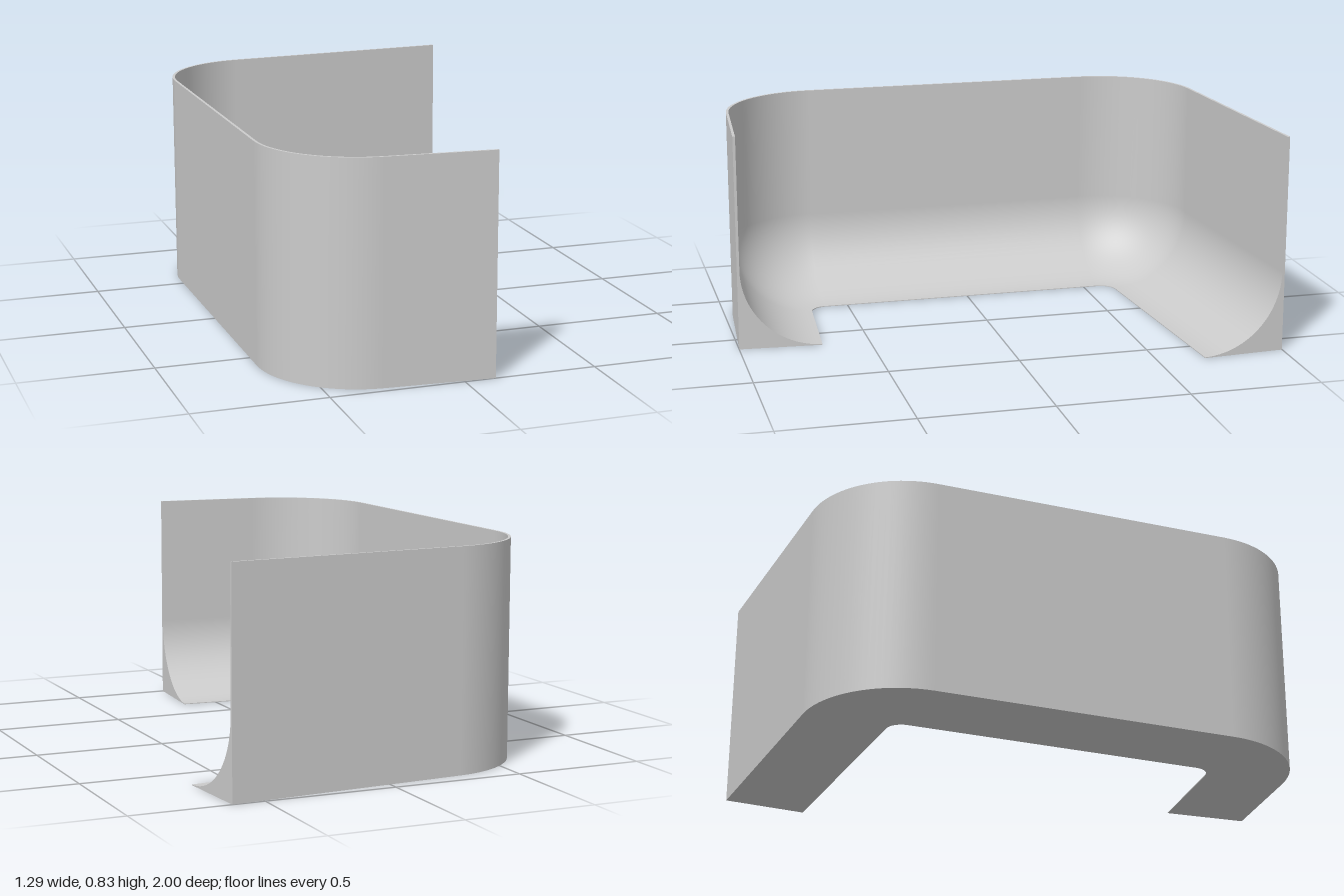
import * as THREE from 'three';

const HEIGHT = 0.83, WIDTH = 0.317, WALL = 0.01, LIP = 0.003;
const RADIUS = 0.38, CORNER_X = -0.266, BACK_Z = -0.556, FRONT_Z = 0.592;
const BACK_ARM = 0.9166, FRONT_ARM = 0.4105;
const SPLAY = THREE.MathUtils.degToRad(4); // both arms open outward slightly
const STEPS = 24;

// Stations along the plan: an origin (x, z) and an outward direction angle
function makeStations() {
  const stations = [];
  const backAngle = 1.5 * Math.PI - SPLAY, frontAngle = Math.PI / 2 + SPLAY;
  const add = (z, a, along = 0) => stations.push({
    x: CORNER_X + along * Math.cos(SPLAY),
    z: z + Math.sign(z) * along * Math.sin(SPLAY),
    a,
  });
  add(BACK_Z, backAngle, BACK_ARM);
  for (let i = 0; i <= STEPS; i++) add(BACK_Z, THREE.MathUtils.lerp(backAngle, Math.PI, i / STEPS));
  for (let i = 0; i <= STEPS; i++) add(FRONT_Z, THREE.MathUtils.lerp(Math.PI, frontAngle, i / STEPS));
  add(FRONT_Z, frontAngle, FRONT_ARM);
  return stations;
}

// Place a profile point (distance in from the outer face, height) at a station
function place(s, p) {
  const r = RADIUS - p.x;
  return [s.x + r * Math.cos(s.a), p.y, s.z + r * Math.sin(s.a)];
}

// Sweep one smooth run of the profile along all stations
function sweep(stations, run) {
  const positions = [], index = [], n = run.length;
  stations.forEach((s, i) => run.forEach((p, j) => {
    positions.push(...place(s, p));
    if (i === stations.length - 1 || j === n - 1) return;
    const a = i * n + j, b = a + 1, c = a + n, d = c + 1;
    index.push(a, b, c, b, d, c);
  }));
  const g = new THREE.BufferGeometry();
  g.setAttribute('position', new THREE.Float32BufferAttribute(positions, 3));
  g.setIndex(index);
  g.computeVertexNormals();
  return g;
}

// Flat end face with the full profile
function endCap(s, points) {
  const g = new THREE.ShapeGeometry(new THREE.Shape(points));
  const inward = new THREE.Vector3(-Math.cos(s.a), 0, -Math.sin(s.a));
  const up = new THREE.Vector3(0, 1, 0);
  const m = new THREE.Matrix4().makeBasis(inward, up, inward.clone().cross(up));
  m.setPosition(...place(s, new THREE.Vector2(0, 0)));
  return g.applyMatrix4(m);
}

export function createModel() {
  const group = new THREE.Group();
  group.name = 'covedWall';
  const grey = new THREE.MeshStandardMaterial({ color: 0xcccccc });
  const greyBoth = new THREE.MeshStandardMaterial({ color: 0xcccccc, side: THREE.DoubleSide });
  const add = (name, geometry, material = grey) => {
    const mesh = new THREE.Mesh(geometry, material);
    mesh.name = name;
    group.add(mesh);
  };
  const v = (x, y) => new THREE.Vector2(x, y);

  // Profile: quarter-round cove rising into a thin upright wall
  const cove = [], coveW = WIDTH - WALL;
  for (let i = 0; i <= STEPS; i++) {
    const t = (i / STEPS) * Math.PI / 2;
    cove.push(v(WIDTH - coveW * Math.sin(t), LIP + coveW * (1 - Math.cos(t))));
  }
  const outerFoot = v(0, 0), innerFoot = v(WIDTH, 0);
  const innerTop = v(WALL, HEIGHT), outerTop = v(0, HEIGHT);

  const stations = makeStations();
  add('underside', sweep(stations, [outerFoot, innerFoot]));
  add('innerLip', sweep(stations, [innerFoot, cove[0]]));
  add('coveAndInnerWall', sweep(stations, [...cove, innerTop]));
  add('topRim', sweep(stations, [innerTop, outerTop]));
  add('outerWall', sweep(stations, [outerTop, outerFoot]));

  const outline = [outerFoot, innerFoot, ...cove, innerTop, outerTop];
  add('backArmEnd', endCap(stations[0], outline), greyBoth);
  add('frontArmEnd', endCap(stations[stations.length - 1], outline), greyBoth);
  return group;
}
